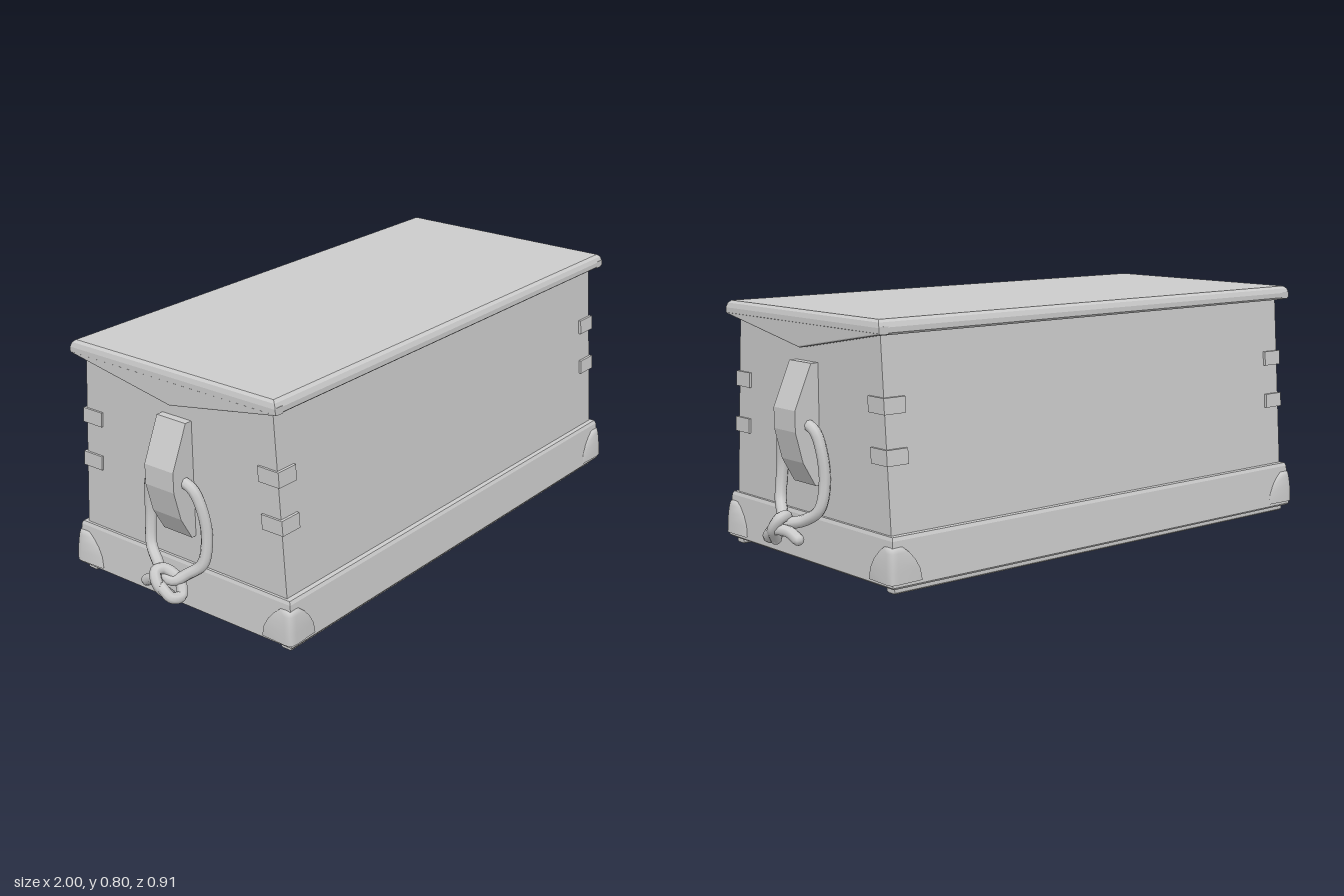
import * as THREE from 'three';

const grey = new THREE.MeshStandardMaterial({ color: 0xcccccc });
const greyDouble = new THREE.MeshStandardMaterial({ color: 0xcccccc, side: THREE.DoubleSide });

// Stack of rectangular rings [halfX, halfZ, y], joined by flat faces and capped at both ends
function rectLoft(rings) {
  const pos = [];
  const loops = rings.map(([x, z, y]) => [[x, y, z], [x, y, -z], [-x, y, -z], [-x, y, z]]);
  const quad = (a, b, c, d) => pos.push(...a, ...b, ...c, ...a, ...c, ...d);
  for (let i = 0; i < loops.length - 1; i++) {
    for (let k = 0; k < 4; k++) {
      const n = (k + 1) % 4;
      quad(loops[i][k], loops[i][n], loops[i + 1][n], loops[i + 1][k]);
    }
  }
  quad(...[...loops[0]].reverse());
  quad(...loops[loops.length - 1]);
  const g = new THREE.BufferGeometry();
  g.setAttribute('position', new THREE.Float32BufferAttribute(pos, 3));
  g.computeVertexNormals();
  return g;
}

// Half depth of the chest wall, which leans inward towards the top
const wallZ = (y) => 0.416 - 0.042 * (y - 0.15) / 0.61;

// Box between two corners, with z measured outward from the leaning wall
function wallBox(x0, x1, y0, y1, z0, z1, sx, sz) {
  const g = new THREE.BoxGeometry(x1 - x0, y1 - y0, z1 - z0);
  g.translate(sx * (x0 + x1) / 2, (y0 + y1) / 2, sz * (z0 + z1) / 2);
  const p = g.attributes.position;
  for (let i = 0; i < p.count; i++) p.setZ(i, p.getZ(i) + sz * wallZ(p.getY(i)));
  g.computeVertexNormals();
  return g;
}

// Arched shell wrapped round one corner of the plinth: [y, reach along the faces, inset]
function cornerCap(sx, sz) {
  const rows = [[0.035, 0.115, 0], [0.07, 0.108, 0.001], [0.1, 0.09, 0.003],
    [0.125, 0.065, 0.006], [0.139, 0.045, 0.009], [0.144, 0.03, 0.022]];
  const pos = [], idx = [], n = 8, r = 0.025;
  for (const [y, e, inset] of rows) {
    const X = 0.885 - inset, Z = 0.453 - inset;
    const section = [[X - e, Z - 0.016], [X - e, Z - 0.004], [X - r, Z], [X - 0.3 * r, Z - 0.1 * r],
      [X - 0.1 * r, Z - 0.3 * r], [X, Z - r], [X - 0.004, Z - e], [X - 0.016, Z - e]];
    for (const [x, z] of section) pos.push(sx * x, y, sz * z);
  }
  for (let i = 0; i < rows.length - 1; i++) {
    for (let k = 0; k < n - 1; k++) {
      const a = i * n + k, b = a + 1, c = b + n, d = a + n;
      if (sx * sz > 0) idx.push(a, b, c, a, c, d);
      else idx.push(a, c, b, a, d, c);
    }
  }
  const g = new THREE.BufferGeometry();
  g.setAttribute('position', new THREE.Float32BufferAttribute(pos, 3));
  g.setIndex(idx);
  g.computeVertexNormals();
  return g;
}

// Outline drawn on the x/y plane, given thickness along z
function slab(points, depth, bevel = 0) {
  const shape = new THREE.Shape(points.map(([x, y]) => new THREE.Vector2(x, y)));
  const g = new THREE.ExtrudeGeometry(shape, {
    depth: depth - 2 * bevel, bevelEnabled: bevel > 0, bevelSize: bevel,
    bevelOffset: -bevel, bevelThickness: bevel, bevelSegments: 2 });
  return g.translate(0, 0, bevel - depth / 2);
}

function rope(points, s, closed, segments) {
  const curve = new THREE.CatmullRomCurve3(
    points.map(([x, y, z]) => new THREE.Vector3(s * x, y, z)), closed);
  return new THREE.TubeGeometry(curve, segments, 0.0185, 8, closed);
}

export function createModel() {
  const model = new THREE.Group();
  const add = (name, geometry, material = grey, parent = model) => {
    const mesh = new THREE.Mesh(geometry, material);
    mesh.name = name;
    parent.add(mesh);
    return mesh;
  };

  // Main box, plinth with a recessed floor, and lid
  add('body', rectLoft([[0.855, wallZ(0.15), 0.15], [0.855, wallZ(0.76), 0.76]]));
  add('plinth', rectLoft([[0.84, 0.405, 0.05], [0.84, 0.405, 0.02], [0.868, 0.442, 0.02],
    [0.875, 0.446, 0.026], [0.867, 0.436, 0.16], [0.863, 0.431, 0.171], [0.8, 0.37, 0.173]]));
  add('lid', rectLoft([[0.8, 0.3, 0.749], [0.876, 0.402, 0.749], [0.886, 0.411, 0.756],
    [0.886, 0.411, 0.772], [0.882, 0.405, 0.787], [0.874, 0.395, 0.795]]));

  // Runners under the long sides
  for (const sz of [1, -1]) {
    add('runner', rectLoft([[0.852, 0.014, 0], [0.855, 0.019, 0.005], [0.855, 0.019, 0.025]])
      .translate(0, 0, sz * 0.409));
  }

  // Corner caps and the wrapped corner straps
  for (const sx of [1, -1]) {
    for (const sz of [1, -1]) {
      add('cornerCap', cornerCap(sx, sz), greyDouble);
      for (const [y0, y1] of [[0.373, 0.42], [0.521, 0.569]]) {
        const strap = new THREE.Group();
        strap.name = 'cornerStrap';
        add('strapLong', wallBox(0.785, 0.862, y0, y1, -0.01, 0.009, sx, sz), grey, strap);
        add('strapEnd', wallBox(0.845, 0.862, y0, y1, -0.07, 0.009, sx, sz), grey, strap);
        model.add(strap);
      }
    }
  }

  // Each end: pointed lid skirt, cleat and knotted rope handle
  const loop = [[0.935, 0.14, 0.035], [0.91, 0.162, 0.07], [0.888, 0.2, 0.113], [0.874, 0.3, 0.121],
    [0.882, 0.4, 0.103], [0.888, 0.44, 0.08], [0.89, 0.455, 0.03], [0.89, 0.455, -0.03],
    [0.888, 0.44, -0.08], [0.882, 0.4, -0.1], [0.874, 0.29, -0.111], [0.888, 0.2, -0.1],
    [0.91, 0.165, -0.055], [0.94, 0.15, -0.005]];
  const knot = [[0.945, 0.112, -0.068], [0.955, 0.132, -0.03], [0.975, 0.132, 0.02],
    [0.968, 0.102, 0.058], [0.935, 0.1, 0.066], [0.922, 0.14, 0.045], [0.94, 0.172, 0.002],
    [0.968, 0.17, -0.006], [0.98, 0.135, 0.015], [0.955, 0.097, 0.04]];
  for (const s of [1, -1]) {
    const end = new THREE.Group();
    end.name = s > 0 ? 'leftEnd' : 'rightEnd';
    model.add(end);
    add('lidSkirt', slab([[-0.411, 0.752], [0, 0.68], [0.411, 0.752], [0.411, 0.775],
      [-0.411, 0.775]], 0.036, 0.005).rotateY(Math.PI / 2).translate(s * 0.867, 0, 0), grey, end);
    const cleat = slab([[0.85, 0.265], [0.872, 0.265], [0.915, 0.34], [0.94, 0.435],
      [0.94, 0.5], [0.88, 0.638], [0.85, 0.638]], 0.116);
    add('cleat', s > 0 ? cleat : cleat.rotateY(Math.PI), grey, end);
    add('ropeLoop', rope(loop, s, true, 72), greyDouble, end);
    add('ropeKnot', rope(knot, s, false, 60), greyDouble, end);
    for (const [x, y, z] of [knot[0], knot[knot.length - 1]]) {
      add('ropeTip', new THREE.SphereGeometry(0.0185, 8, 6).translate(s * x, y, z), grey, end);
    }
  }
  return model;
}
